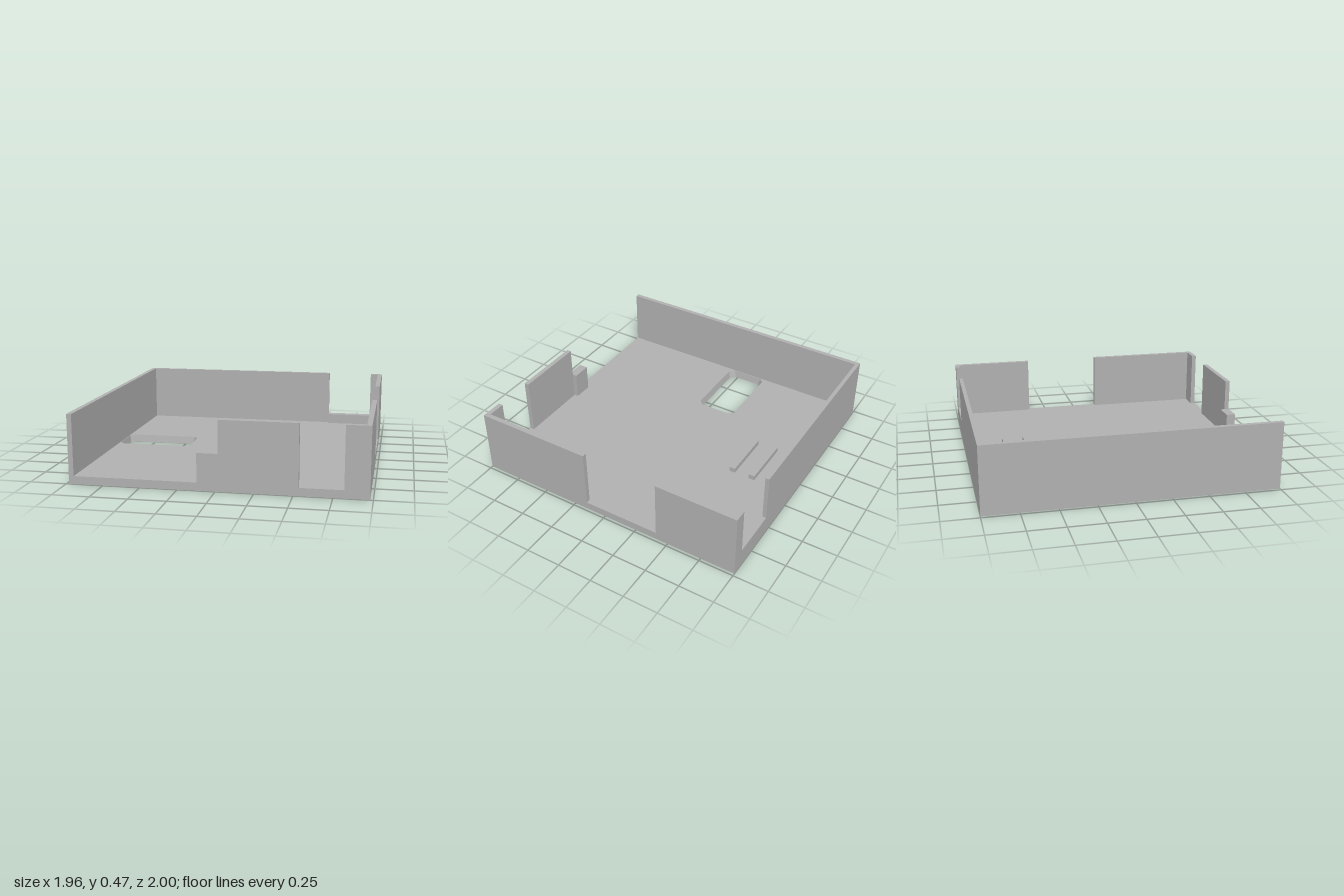
import * as THREE from 'three';

export function createModel() {
  const group = new THREE.Group();
  const grey = new THREE.MeshStandardMaterial({ color: 0xb0b0b0 });
  grey.name = 'plainGrey';

  const X = 0.98, Z = 1, H = 0.47, FLOOR = 0.055, T = 0.033;

  function add(name, geometry) {
    const mesh = new THREE.Mesh(geometry, grey);
    mesh.name = name;
    group.add(mesh);
  }

  // Box given by its limits on each axis
  function block(name, x0, x1, y0, y1, z0, z1) {
    const g = new THREE.BoxGeometry(x1 - x0, y1 - y0, z1 - z0);
    g.translate((x0 + x1) / 2, (y0 + y1) / 2, (z0 + z1) / 2);
    add(name, g);
  }

  // Floor plate with a chamfered rectangular opening (shape y becomes -z)
  const plate = new THREE.Shape([[-X, -Z], [X, -Z], [X, Z], [-X, Z]].map(p => new THREE.Vector2(...p)));
  const cx = -0.67, cz = -0.084, hw = 0.263, hd = 0.139, c = 0.035;
  const corners = [
    [-hw + c, -hd], [hw - c, -hd], [hw, -hd + c], [hw, hd - c],
    [hw - c, hd], [-hw + c, hd], [-hw, hd - c], [-hw, -hd + c],
  ];
  plate.holes.push(new THREE.Path(corners.map(([x, z]) => new THREE.Vector2(cx + x, -cz + z))));
  const floor = new THREE.ExtrudeGeometry(plate, { depth: FLOOR, bevelEnabled: false });
  floor.rotateX(-Math.PI / 2);
  // Flare the opening slightly towards the top
  const p = floor.attributes.position;
  for (let i = 0; i < p.count; i++) {
    const inner = Math.abs(p.getX(i)) < X - 0.01 && Math.abs(p.getZ(i)) < Z - 0.01;
    if (inner && p.getY(i) > FLOOR / 2) {
      p.setX(i, p.getX(i) + 0.01 * Math.sign(p.getX(i) - cx));
      p.setZ(i, p.getZ(i) + 0.012 * Math.sign(p.getZ(i) - cz));
    }
  }
  floor.computeVertexNormals();
  add('floor', floor);

  // Closed side wall
  block('rightWall', -X, -X + T, FLOOR, H, -Z, Z);

  // Back wall with a notch and its thickened sill
  block('backWall', -X + T, 0.55, FLOOR, H, -Z, -Z + 0.028);
  block('backCornerWall', 0.89, X - T, FLOOR, H, -Z, -Z + 0.028);
  block('backNotchSill', 0.55, 0.89, FLOOR, 0.13, -Z, -0.94);

  // Side wall with a wide gap
  block('leftWallBack', X - T, X, FLOOR, H, -Z, -0.41);
  block('leftWallFront', X - T, X, FLOOR, H, 0.15, Z);

  // Front wall pieces and the low step beside them
  block('frontStep', -0.12, 0.02, FLOOR, 0.25, 0.935, Z);
  block('frontWall', 0.02, 0.535, FLOOR, H, Z - T, Z);
  block('frontCornerWall', 0.82, X - T, FLOOR, H, Z - T, Z);

  // Pair of low rails on the floor
  for (const z of [-0.705, -0.55]) block('floorRail', -0.185, 0.185, FLOOR, 0.092, z - 0.022, z + 0.022);

  return group;
}
